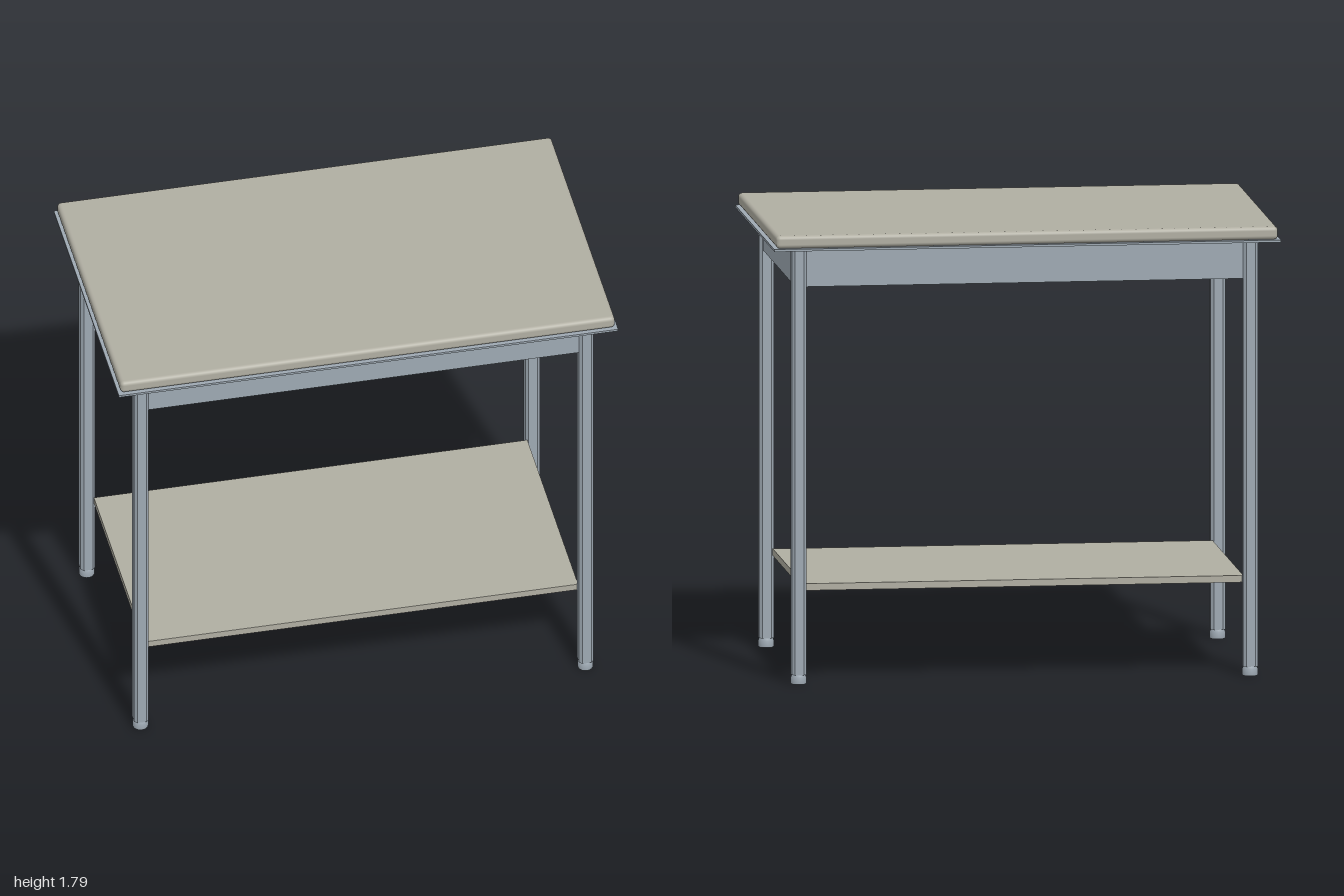
import * as THREE from 'three';
import { RoundedBoxGeometry } from 'three/addons/geometries/RoundedBoxGeometry.js';

export function createModel() {
  const steel = new THREE.MeshStandardMaterial({ color: 0x9ea9b3 });
  steel.name = 'blueGreySteel';
  const laminate = new THREE.MeshStandardMaterial({ color: 0xb0aea2 });
  laminate.name = 'beigeLaminate';

  const table = new THREE.Group();
  table.name = 'workTable';
  const add = (name, geometry, material, x, y, z) => {
    const mesh = new THREE.Mesh(geometry, material);
    mesh.name = name;
    mesh.position.set(x, y, z);
    table.add(mesh);
  };
  const box = (w, h, d) => new THREE.BoxGeometry(w, h, d);

  // Worktop: rounded slab on a thin, slightly larger steel tray
  add('worktop', new RoundedBoxGeometry(1.98, 0.051, 1.186, 4, 0.016), laminate, 0, 1.7605, 0);
  add('topTray', box(2, 0.009, 1.204), steel, 0, 1.7305, 0);

  // Lower shelf held between the inner corners of the legs
  add('lowerShelf', box(1.736, 0.027, 0.94), laminate, 0, 0.3775, 0);

  // Leg tube: square section with bevelled corners
  const h = 0.029, c = 0.011;
  const section = new THREE.Shape([
    [h, -h + c], [h, h - c], [h - c, h], [-h + c, h],
    [-h, h - c], [-h, -h + c], [-h + c, -h], [h - c, -h],
  ].map(([x, y]) => new THREE.Vector2(x, y)));
  const legGeometry = new THREE.ExtrudeGeometry(section, { depth: 1.69, bevelEnabled: false });
  legGeometry.rotateX(-Math.PI / 2);

  // Levelling foot: short round cap, tapered towards the leg
  const footGeometry = new THREE.LatheGeometry([
    [0, 0], [0.029, 0], [0.029, 0], [0.031, 0.004], [0.031, 0.026],
    [0.026, 0.037], [0.026, 0.037], [0, 0.037],
  ].map(([r, y]) => new THREE.Vector2(r, y)), 24);

  const legX = 0.891, legZ = 0.496;
  for (const sx of [1, -1]) {
    for (const sz of [1, -1]) {
      const corner = (sz > 0 ? 'front' : 'back') + (sx > 0 ? 'Left' : 'Right');
      add(corner + 'Leg', legGeometry, steel, sx * legX, 0.037, sz * legZ);
      add(corner + 'Foot', footGeometry, steel, sx * legX, 0, sz * legZ);
    }
  }

  // Apron rails under the top, set back a little from the leg faces
  for (const s of [1, -1]) {
    add(s > 0 ? 'frontApron' : 'backApron', box(1.73, 0.156, 0.036), steel, 0, 1.65, s * 0.492);
    add(s > 0 ? 'leftApron' : 'rightApron', box(0.036, 0.156, 0.94), steel, s * 0.887, 1.65, 0);
  }
  return table;
}
